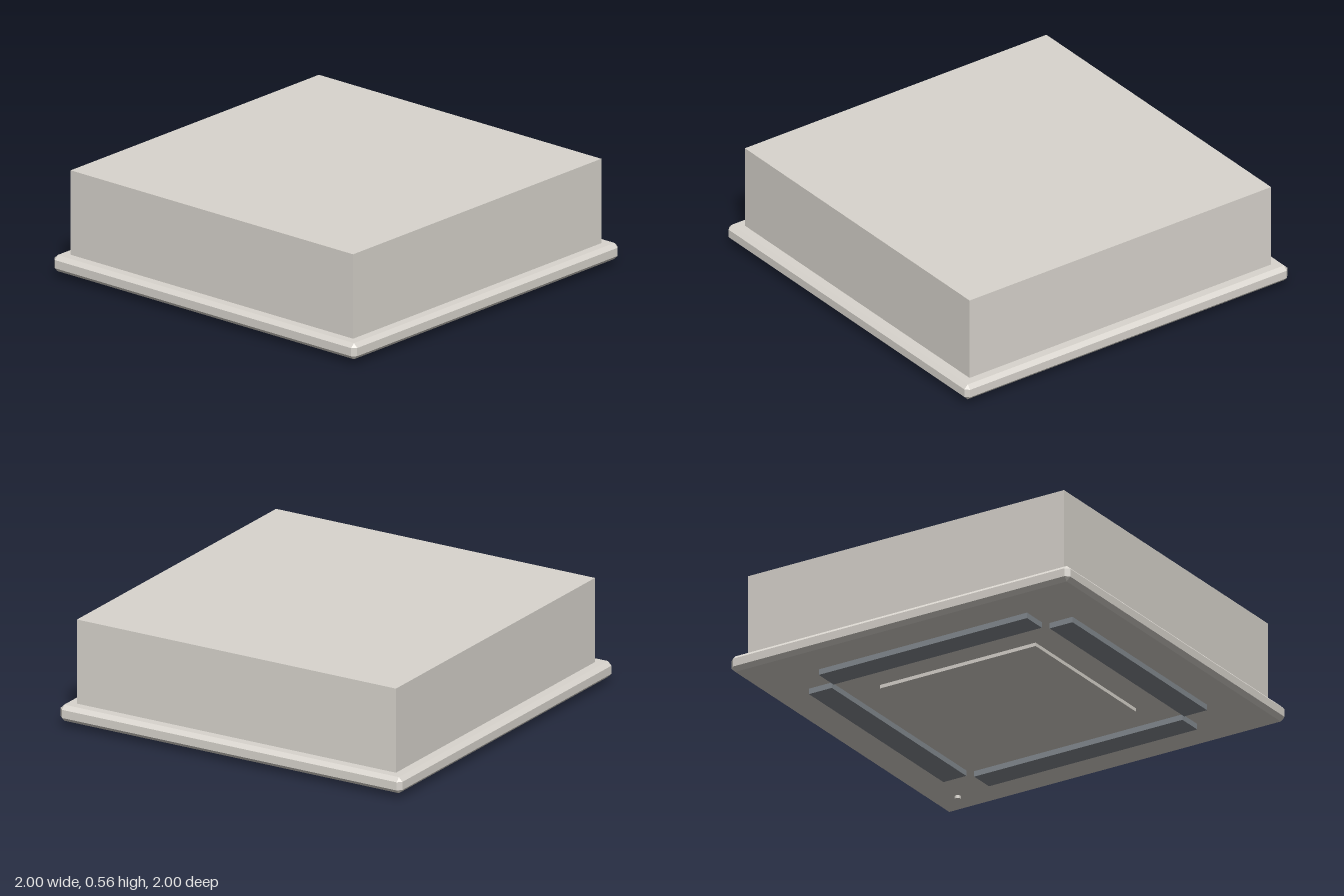
import * as THREE from 'three';
import { ConvexGeometry } from 'three/addons/geometries/ConvexGeometry.js';

// Block with every edge and corner cut at 45 degrees
function chamferedBlock(hx, hy, hz, c) {
  const points = [];
  for (const sx of [-1, 1]) for (const sy of [-1, 1]) for (const sz of [-1, 1]) {
    points.push(
      new THREE.Vector3(sx * hx, sy * (hy - c), sz * (hz - c)),
      new THREE.Vector3(sx * (hx - c), sy * hy, sz * (hz - c)),
      new THREE.Vector3(sx * (hx - c), sy * (hy - c), sz * hz)
    );
  }
  return new ConvexGeometry(points);
}

export function createModel() {
  const casing = new THREE.MeshStandardMaterial({ color: 0xd9d5ce });
  casing.name = 'warm grey casing';
  const slate = new THREE.MeshStandardMaterial({ color: 0x858b91 });
  slate.name = 'slate louver';

  const group = new THREE.Group();
  group.name = 'ceilingUnit';
  const add = (name, geometry, material, x, y, z) => {
    const mesh = new THREE.Mesh(geometry, material);
    mesh.name = name;
    mesh.position.set(x, y, z);
    group.add(mesh);
    return mesh;
  };

  // Square housing above the fascia
  add('housing', new THREE.BoxGeometry(1.866, 0.46, 1.866), casing, 0, 0.33, 0);

  // Wide chamfered fascia
  add('fascia', chamferedBlock(1, 0.0425, 1, 0.021), casing, 0, 0.0725, 0);

  // Raised intake panel in the middle of the underside
  add('intakePanel', new THREE.BoxGeometry(0.92, 0.03, 0.92), casing, 0, 0.026, 0);

  // Four louvers around the intake
  const louver = new THREE.BoxGeometry(1.23, 0.04, 0.135);
  for (let i = 0; i < 4; i++) {
    const a = i * Math.PI / 2;
    add('louver', louver, slate, Math.sin(a) * 0.711, 0.02, Math.cos(a) * 0.711).rotation.y = a;
  }

  // Small indicator in one corner
  add('indicator', new THREE.CylinderGeometry(0.016, 0.016, 0.025, 16), casing, 0.845, 0.0275, 0.848);

  return group;
}
